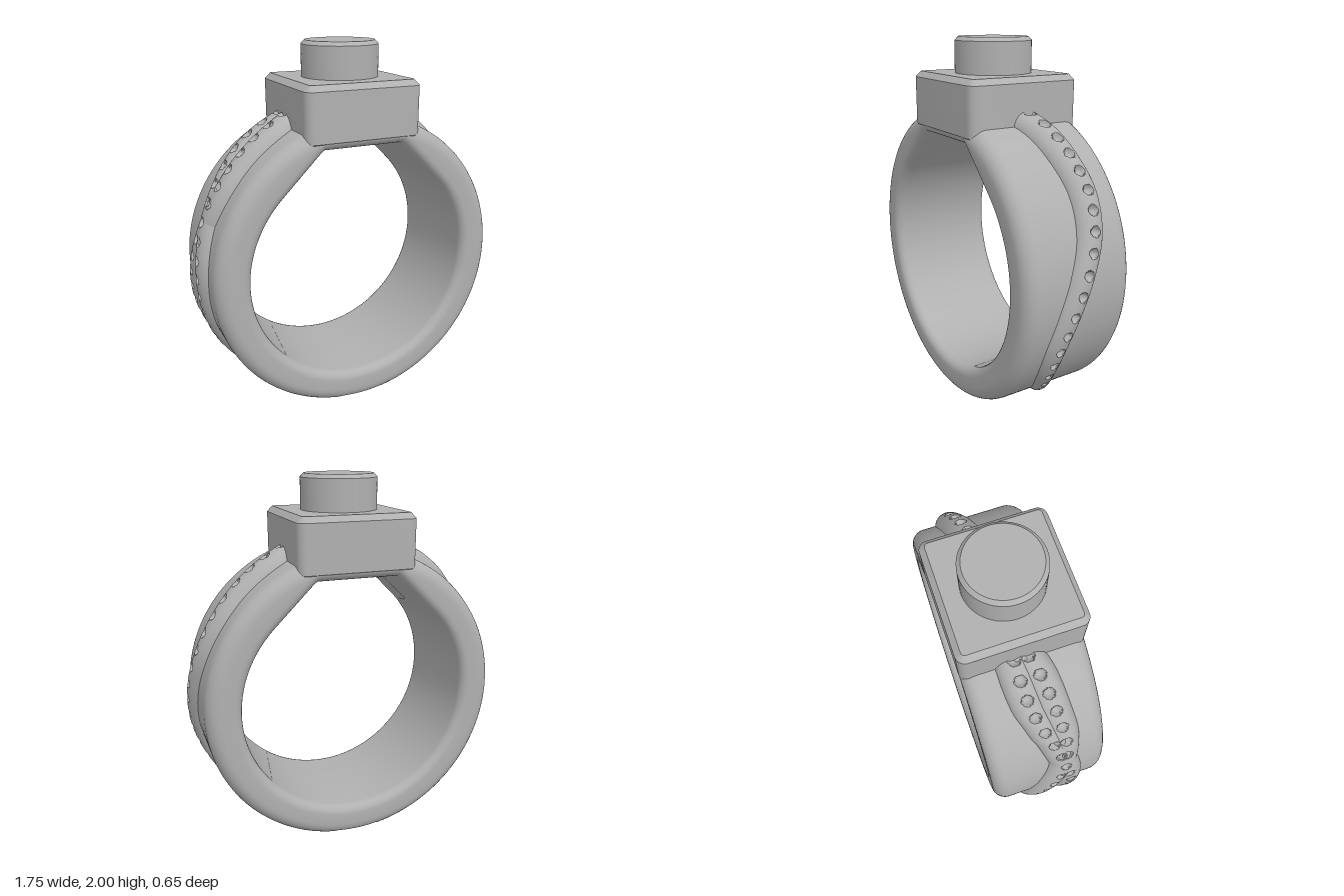
import * as THREE from 'three';
import { toCreasedNormals } from 'three/addons/utils/BufferGeometryUtils.js';

const metal = new THREE.MeshStandardMaterial({ color: 0xb0b0b0 });
metal.name = 'grey metal';

const CENTRE_Y = 0.8;
const HALF_WIDTH = 0.325;
const rad = THREE.MathUtils.degToRad;

function addMesh(parent, name, geometry) {
  const mesh = new THREE.Mesh(geometry, metal);
  mesh.name = name;
  parent.add(mesh);
  return mesh;
}

// Grid surface from a point rule; rows run round the ring, columns across it
function gridSurface(rows, cols, point, crease) {
  const positions = [], index = [];
  for (let i = 0; i <= rows; i++)
    for (let j = 0; j <= cols; j++) {
      const [angle, r, z] = point(i, j);
      // the foot of the ring is cut flat at the ground
      positions.push(r * Math.sin(angle), Math.max(0, CENTRE_Y + r * Math.cos(angle)), z);
    }
  for (let i = 0; i < rows; i++)
    for (let j = 0; j < cols; j++) {
      const a = i * (cols + 1) + j, b = a + cols + 1;
      index.push(a, a + 1, b, a + 1, b + 1, b);
    }
  const geometry = new THREE.BufferGeometry();
  geometry.setAttribute('position', new THREE.Float32BufferAttribute(positions, 3));
  geometry.setIndex(index);
  return toCreasedNormals(geometry, crease);
}

// Band: round outside, inside opening with sloped shoulders and a flat top
function bandGeometry() {
  const outer = 0.83, inner = 0.64, outerFillet = 0.08, innerFillet = 0.05, steps = 7;
  const innerRadius = (angle) => {
    const c = Math.cos(angle), s = Math.abs(Math.sin(angle));
    if (c < Math.SQRT1_2) return inner;
    return Math.min(inner * Math.SQRT2 / (c + s), 0.68 / c);
  };
  const section = (ri) => {
    const points = [];
    for (let corner = 0; corner < 4; corner++) {
      const isOuter = corner < 2;
      const f = isOuter ? outerFillet : innerFillet;
      const r0 = isOuter ? outer - f : ri + f;
      const z0 = (corner === 1 || corner === 2 ? 1 : -1) * (HALF_WIDTH - f);
      for (let k = 0; k <= steps; k++) {
        const a = rad(-90 + 90 * (corner + k / steps));
        points.push([r0 + f * Math.cos(a), z0 + f * Math.sin(a)]);
      }
    }
    points.push(points[0]);
    return points;
  };
  const rows = 180, sections = [];
  for (let i = 0; i <= rows; i++) sections.push(section(innerRadius(rad(i * 2))));
  return gridSurface(rows, 4 * (steps + 1), (i, j) => [rad(i * 2), ...sections[i][j]], 0.4);
}

// Vine: tapering strand wandering across the band, with a row of round pits
function vineGeometry(path) {
  const rows = 360, cols = 40;
  const centres = new THREE.SplineCurve(path.map(([a, z]) => new THREE.Vector2(a, z))).getSpacedPoints(rows);
  const taper = (a) => (a - 14) / 146;
  const outerRadius = (a) => 0.902 - 0.05 * taper(a);
  const pits = [];
  for (let k = 0; k < 21; k++) {
    const a = 22 + k * 6.7;
    const centre = centres.reduce((p, q) => (Math.abs(q.x - a) < Math.abs(p.x - a) ? q : p));
    pits.push({ a, z: centre.y, size: 0.029 - 0.008 * taper(a) });
  }
  return gridSurface(rows, cols, (i, j) => {
    const { x: a, y: zc } = centres[i];
    const size = 0.1 - 0.04 * taper(a), top = outerRadius(a);
    const u = j / cols * 2 - 1;
    const theta = Math.sign(u) * Math.pow(Math.abs(u), 1.5) * rad(100);
    let r = top - size + size * Math.cos(theta);
    const z = zc + size * Math.sin(theta);
    for (const pit of pits) {
      const d = Math.hypot(rad(a - pit.a) * top, z - pit.z);
      if (d < pit.size) r -= Math.sqrt(pit.size ** 2 - d ** 2);
    }
    return [rad(a), r, z];
  }, 0.7);
}

// Square head with rounded corners and chamfered rims
function headGeometry() {
  const bevel = 0.03, h = 0.327 - bevel, c = 0.02;
  const shape = new THREE.Shape();
  shape.absarc(h - c, h - c, c, 0, Math.PI / 2);
  shape.absarc(-h + c, h - c, c, Math.PI / 2, Math.PI);
  shape.absarc(-h + c, -h + c, c, Math.PI, Math.PI * 1.5);
  shape.absarc(h - c, -h + c, c, Math.PI * 1.5, Math.PI * 2);
  const geometry = new THREE.ExtrudeGeometry(shape, {
    depth: 0.26, bevelEnabled: true, bevelSize: bevel, bevelThickness: bevel, bevelSegments: 1, curveSegments: 6,
  });
  geometry.rotateX(-Math.PI / 2);
  geometry.translate(0, 1.49 + bevel, 0);
  return toCreasedNormals(geometry, 0.5);
}

export function createModel() {
  const ring = new THREE.Group();
  ring.name = 'ring';

  addMesh(ring, 'band', bandGeometry());
  addMesh(ring, 'head', headGeometry());

  // Round stud with a chamfered rim
  const stud = new THREE.LatheGeometry([
    [0.208, 1.78], [0.208, 1.98], [0.188, 2], [0, 2],
  ].map(([x, y]) => new THREE.Vector2(x, y)), 64);
  addMesh(ring, 'stud', toCreasedNormals(stud, 0.5));

  // Vines: [degrees from the top, sideways offset]
  const mainPath = [
    [14, 0.04], [22, -0.01], [30, -0.045], [43, -0.072], [56, -0.09], [70, -0.065], [83, 0],
    [97, 0.075], [110, 0.117], [124, 0.107], [137, 0.05], [149, -0.025], [160, -0.08], [168, -0.11],
  ];
  const crossingPath = [
    [14, 0.06], [24, 0.06], [32, 0.058], [40, 0.045], [46, 0.02], [52, -0.005], [58, -0.035],
    [74, -0.085], [88, -0.1], [102, -0.07], [116, -0.02], [130, 0.02], [150, 0.04], [168, 0.05],
  ];
  const endGeometry = new THREE.SphereGeometry(0.1, 32, 20);
  const addVine = (parent, name, geometry, path) => {
    addMesh(parent, name, geometry);
    // rounded end poking out below the head
    addMesh(parent, name + 'End', endGeometry).position.set(0.21, 1.53, path[0][1]);
  };
  const mainVine = vineGeometry(mainPath);
  addVine(ring, 'leftVine', mainVine, mainPath);

  const rightSide = new THREE.Group();
  rightSide.name = 'rightVines';
  rightSide.rotation.y = Math.PI;
  addVine(rightSide, 'rightVine', mainVine, mainPath);
  addVine(rightSide, 'crossingVine', vineGeometry(crossingPath), crossingPath);
  ring.add(rightSide);

  return ring;
}
